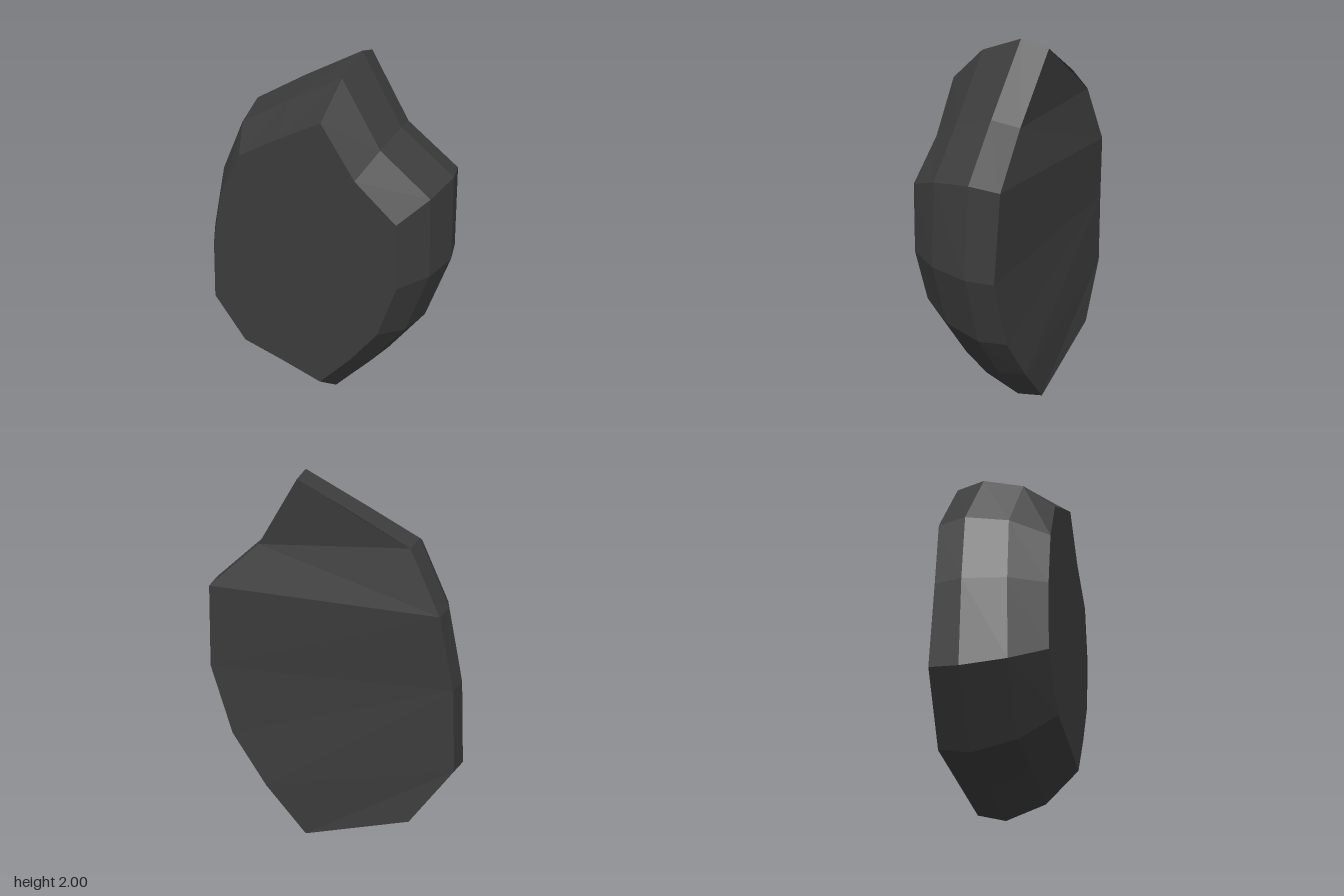
import * as THREE from 'three';

// One row per corner, clockwise seen from the front:
// widest outline x, y | front face x, y | depth of front shoulder, widest ring, back edge
const corners = [
  [0.15, 2.0, 0.115, 1.77, 0.09, -0.125, -0.268],
  [0.38, 1.66, 0.29, 1.51, 0.115, -0.09, -0.235],
  [0.655, 1.43, 0.505, 1.325, 0.09, -0.125, -0.275],
  [0.685, 0.97, 0.525, 0.97, 0.1, -0.11, -0.255],
  [0.57, 0.58, 0.435, 0.66, 0.1, -0.11, -0.26],
  [0.37, 0.28, 0.285, 0.44, 0.1, -0.11, -0.27],
  [0.14, 0.0, 0.11, 0.225, 0.1, -0.11, -0.258],
  [-0.15, 0.1, -0.13, 0.3, 0.1, -0.11, -0.26],
  [-0.46, 0.19, -0.36, 0.365, 0.1, -0.11, -0.27],
  [-0.69, 0.52, -0.54, 0.62, 0.11, -0.1, -0.25],
  [-0.665, 0.97, -0.52, 0.97, 0.1, -0.11, -0.25],
  [-0.585, 1.36, -0.455, 1.27, 0.085, -0.13, -0.275],
  [-0.42, 1.685, -0.33, 1.52, 0.12, -0.09, -0.24],
  [-0.15, 1.84, -0.11, 1.65, 0.1, -0.12, -0.265],
];

// Uneven back surface, as bands running across the slab
const backFaces = [
  [0, 1, 12], [0, 12, 13], [1, 11, 12], [1, 2, 11], [2, 3, 11], [3, 10, 11],
  [3, 4, 10], [4, 5, 10], [5, 9, 10], [5, 6, 9], [6, 8, 9], [6, 7, 8],
];

function rockGeometry() {
  const n = corners.length;
  const positions = [];
  const index = [];

  // Four rings from front to back; inset 0 is the widest outline, 1 the front face
  [1, 0.31, 0, 0.15].forEach((inset, ring) => {
    for (const [ox, oy, fx, fy, ...depths] of corners) {
      positions.push(
        THREE.MathUtils.lerp(ox, fx, inset),
        THREE.MathUtils.lerp(oy, fy, inset),
        ring === 0 ? 0.275 : depths[ring - 1],
      );
    }
  });

  // Chiselled sides
  for (let ring = 0; ring < 3; ring++) {
    for (let i = 0; i < n; i++) {
      const j = (i + 1) % n;
      const a = ring * n + i, b = ring * n + j;
      index.push(a, b, b + n, a, b + n, a + n);
    }
  }

  // Flat front, fanned from the notch
  for (let k = 2; k < n; k++) index.push(1, (k + 1) % n, k);

  // Back
  for (const face of backFaces) index.push(...face.map((i) => i + 3 * n));

  const indexed = new THREE.BufferGeometry();
  indexed.setAttribute('position', new THREE.Float32BufferAttribute(positions, 3));
  indexed.setIndex(index);
  const geometry = indexed.toNonIndexed();
  geometry.computeVertexNormals();
  return geometry;
}

export function createModel() {
  const stone = new THREE.MeshStandardMaterial({ color: 0x3c3c3c });
  stone.name = 'darkStone';
  stone.flatShading = true;

  const rock = new THREE.Mesh(rockGeometry(), stone);
  rock.name = 'rockSlab';

  const model = new THREE.Group();
  model.name = 'rock';
  model.add(rock);
  return model;
}
